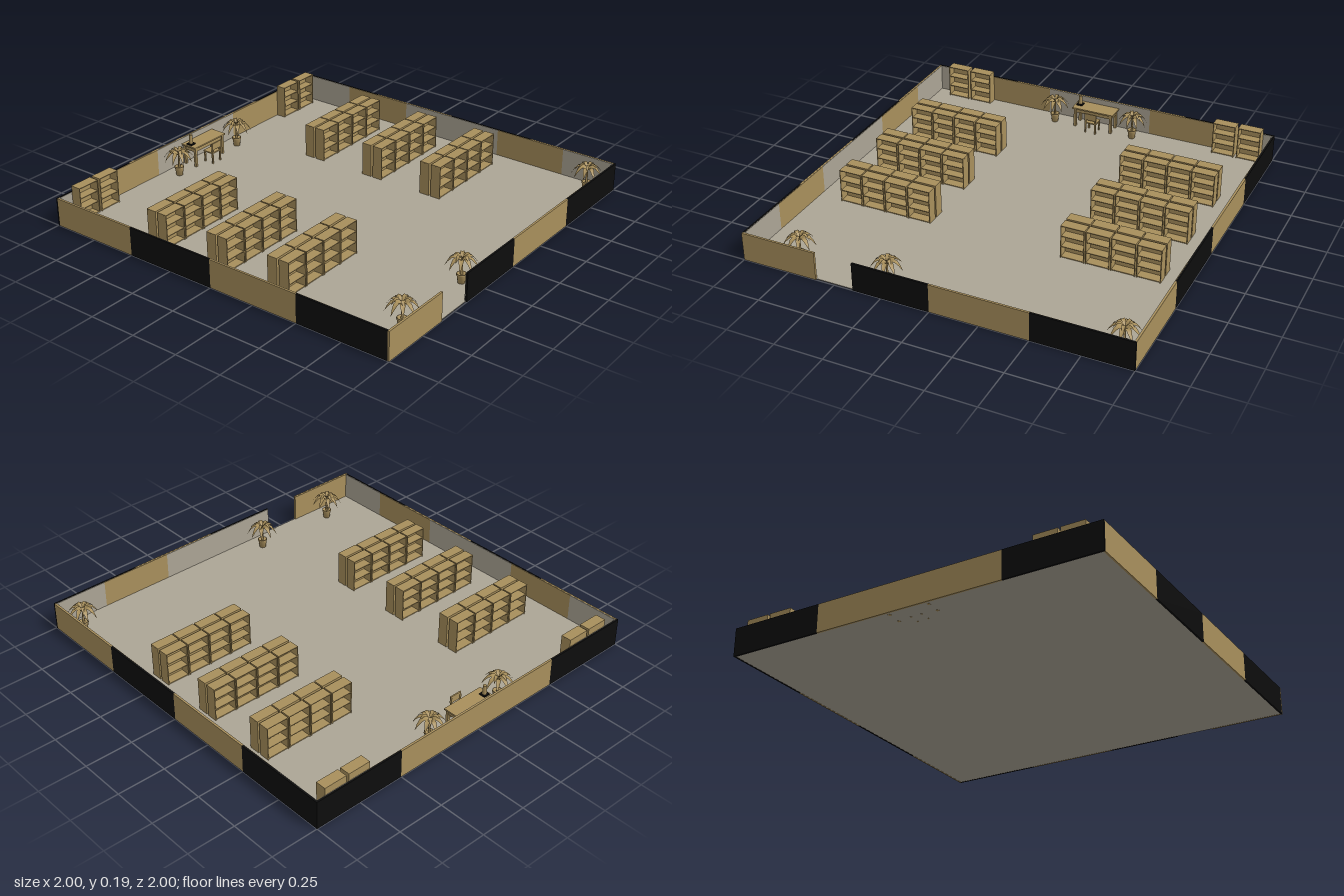
import * as THREE from 'three';

const material = (name, color) => Object.assign(new THREE.MeshStandardMaterial({ color }), { name });

export function createModel() {
  const wood = material('tan wood', 0xa88f5c);
  const black = material('black wall', 0x0d0d0d);
  const stone = material('stone floor', 0xaca595);
  const leafMat = material('tan leaf', 0xa88f5b);
  leafMat.side = THREE.DoubleSide;

  const model = new THREE.Group();
  model.name = 'libraryRoom';

  const group = (name, parent, x = 0, y = 0, z = 0, turn = 0) => {
    const g = new THREE.Group();
    g.name = name;
    g.position.set(x, y, z);
    g.rotation.y = turn;
    parent.add(g);
    return g;
  };
  const mesh = (name, parent, geometry, mat, x, y, z) => {
    const m = new THREE.Mesh(geometry, mat);
    m.name = name;
    m.position.set(x, y, z);
    parent.add(m);
    return m;
  };
  // Box given by its minimum and maximum corners
  const box = (name, parent, mat, [x0, y0, z0], [x1, y1, z1]) =>
    mesh(name, parent, new THREE.BoxGeometry(x1 - x0, y1 - y0, z1 - z0), mat,
      (x0 + x1) / 2, (y0 + y1) / 2, (z0 + z1) / 2);

  // Floor slab
  box('floor', model, stone, [-0.995, 0.001, -0.995], [0.995, 0.005, 0.995]);

  // Walls: coloured outer segments with thin lining panels inside
  const H = 0.15;
  const wall = (name, turn, half, outer, inner) => {
    const g = group(name, model, 0, 0, 0, turn);
    const clip = (v, limit) => Math.max(-limit, Math.min(limit, v));
    for (const [a, b, mat] of outer) {
      box('wallSegment', g, mat, [clip(a, half), 0, 0.991], [clip(b, half), H, 1]);
    }
    for (const [a, b, mat] of inner) {
      box('wallLining', g, mat, [clip(a, 0.991), 0.004, 0.988], [clip(b, 0.991), H - 0.001, 0.991]);
    }
  };
  const lining = [[-1, -0.7, stone], [-0.7, -0.3, wood], [-0.3, 0.3, stone], [0.3, 0.7, wood], [0.7, 1, stone]];
  const sideOuter = [[-1, -0.5, wood], [-0.5, 0, black], [0, 0.5, wood], [0.5, 1, black]];
  wall('frontWall', 0, 1,
    [[-1, -0.6, wood], [-0.4, 0, black], [0, 0.5, wood], [0.5, 1, black]],
    [[-1, -0.6, wood], [-0.4, 0.3, stone], [0.3, 0.7, wood], [0.7, 1, stone]]);
  wall('backWall', Math.PI, 1, [[-1, -0.5, black], [-0.5, 0.5, wood], [0.5, 1, black]], lining);
  wall('leftWall', Math.PI / 2, 0.991, sideOuter, lining);
  wall('rightWall', -Math.PI / 2, 0.991, sideOuter, lining);

  // Open bookcase facing local +z
  const W = 0.0615, D = 0.028, T = 0.004, tall = 0.185;
  const bookcase = (x, z, turn) => {
    const g = group('bookcase', model, x, 0, z, turn);
    box('backPanel', g, wood, [-W, 0.003, -D], [W, tall - 0.001, -D + T]);
    for (const s of [-1, 1]) {
      const edge = s * (W - T / 2);
      box('sidePanel', g, wood, [edge - T / 2, 0.003, -D], [edge + T / 2, tall - T, D]);
    }
    for (let i = 0; i < 4; i++) {
      const y = 0.008 + i * 0.0577;
      box('shelf', g, wood, [-W, y, -D], [W, y + T, D - (i === 3 ? 0 : 0.002)]);
    }
  };
  // Double rows standing back to back
  for (const startX of [-0.797, 0.42]) {
    for (const z of [-0.46, -0.08, 0.285]) {
      for (let i = 0; i < 4; i++) {
        bookcase(startX + i * 0.1295, z + 0.034, 0);
        bookcase(startX + i * 0.1295, z - 0.034, Math.PI);
      }
    }
  }
  // Pairs against the back wall
  for (const x of [-0.847, -0.71, 0.742, 0.88]) bookcase(x, -0.958, 0);

  // Desk
  const desk = group('desk', model, 0, 0, -0.937);
  box('deskTop', desk, wood, [-0.12, 0.112, -0.048], [0.12, 0.12, 0.048]);
  box('deskApron', desk, wood, [-0.11, 0.09, -0.04], [0.11, 0.112, 0.038]);
  for (const x of [-0.105, 0.105]) {
    for (const z of [-0.036, 0.036]) {
      box('deskLeg', desk, wood, [x - 0.007, 0, z - 0.007], [x + 0.007, 0.112, z + 0.007]);
    }
  }
  // Small desk ornament
  box('ornamentBase', desk, black, [-0.11, 0.12, -0.022], [-0.076, 0.126, 0.012]);
  mesh('ornamentStem', desk, new THREE.CylinderGeometry(0.009, 0.011, 0.049, 10), wood, -0.093, 0.15, -0.005);

  // Chair tucked under the desk
  const chair = group('chair', model, 0.005, 0, -0.88);
  box('chairSeat', chair, wood, [-0.034, 0.062, -0.034], [0.034, 0.069, 0.03]);
  box('chairBack', chair, wood, [-0.034, 0.085, 0.025], [0.034, 0.122, 0.032]);
  for (const x of [-0.029, 0.029]) {
    box('chairFrontLeg', chair, wood, [x - 0.004, 0, -0.032], [x + 0.004, 0.062, -0.024]);
    box('chairRearLeg', chair, wood, [x - 0.004, 0, 0.022], [x + 0.004, 0.11, 0.03]);
  }

  // Arching pointed leaf, folded along its midrib, growing along +x
  const leafGeometry = (length, rise, droop, width) => {
    const points = [], index = [], n = 5;
    for (let i = 0; i <= n; i++) {
      const t = i / n;
      const x = length * t;
      const y = rise * Math.sin(Math.PI * t) - droop * t * t;
      const w = width * Math.sin(Math.PI * (0.1 + 0.9 * t));
      points.push(x, y + w * 0.3, -w, x, y, 0, x, y + w * 0.3, w);
      if (i === n) continue;
      for (const k of [0, 1]) {
        const a = i * 3 + k;
        index.push(a, a + 1, a + 3, a + 1, a + 4, a + 3);
      }
    }
    const g = new THREE.BufferGeometry();
    g.setAttribute('position', new THREE.Float32BufferAttribute(points, 3));
    g.setIndex(index);
    g.computeVertexNormals();
    return g;
  };
  const lowerLeaf = leafGeometry(0.082, 0.028, 0.022, 0.0125);
  const upperLeaf = leafGeometry(0.055, 0.026, 0.004, 0.01);
  const pot = new THREE.LatheGeometry([[0, 0], [0.017, 0], [0.023, 0.042], [0.025, 0.042],
    [0.025, 0.05], [0.021, 0.05], [0.02, 0.045], [0, 0.045]].map(p => new THREE.Vector2(...p)), 14);

  // Potted palms
  const plant = (x, z, turn) => {
    const g = group('pottedPlant', model, x, 0.004, z, turn);
    mesh('pot', g, pot, wood, 0, 0, 0);
    mesh('trunk', g, new THREE.CylinderGeometry(0.004, 0.006, 0.085, 8), wood, 0, 0.085, 0);
    for (let i = 0; i < 9; i++) {
      mesh('lowerLeaf', g, lowerLeaf, leafMat, 0, 0.112, 0).rotation.y = i * Math.PI * 2 / 9;
    }
    for (let i = 0; i < 5; i++) {
      mesh('upperLeaf', g, upperLeaf, leafMat, 0, 0.124, 0).rotation.y = 0.35 + i * Math.PI * 2 / 5;
    }
  };
  [[-0.23, -0.905], [0.23, -0.905], [-0.75, 0.89], [-0.275, 0.89], [0.905, 0.89]]
    .forEach(([x, z], i) => plant(x, z, i * 0.5));

  return model;
}
